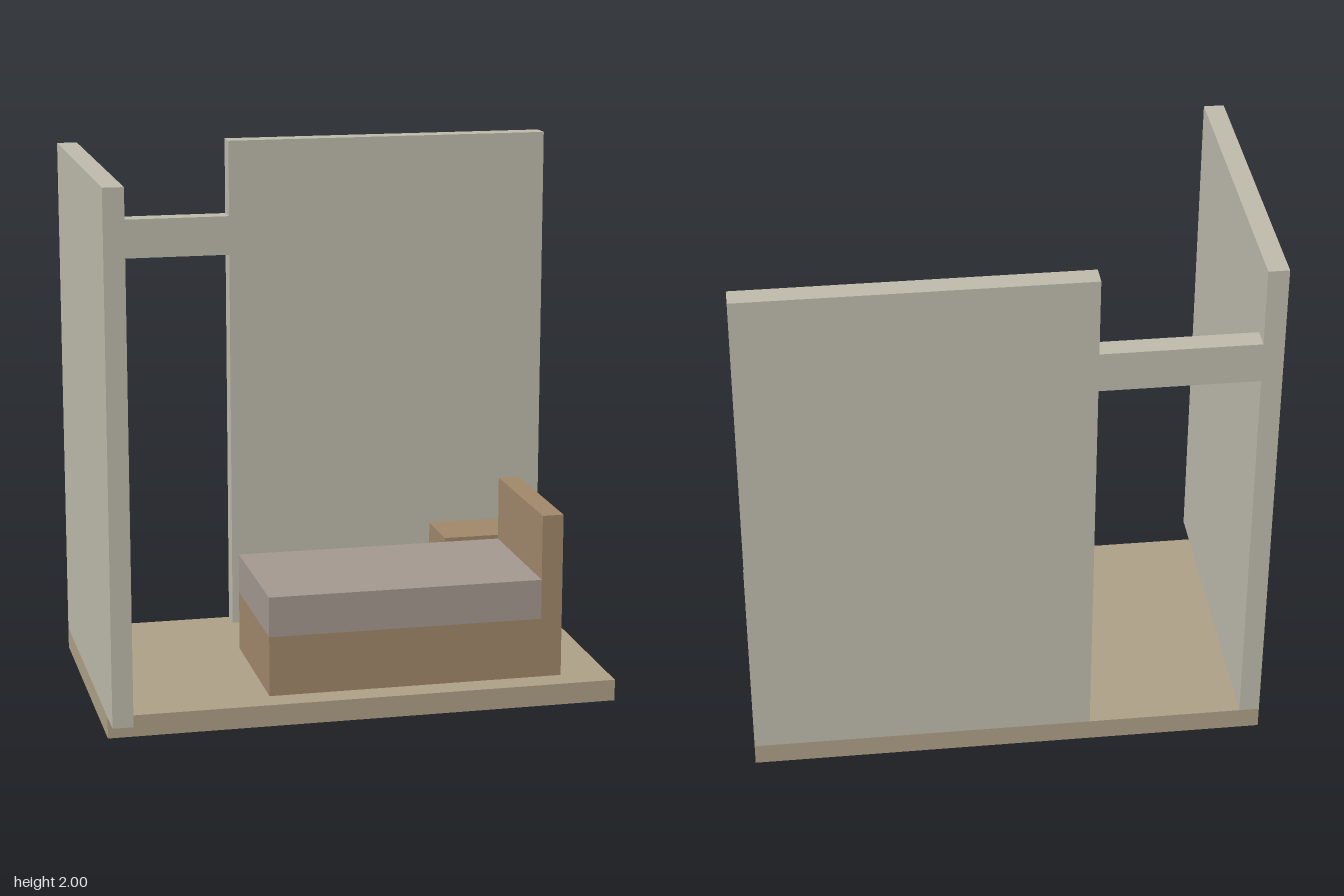
import * as THREE from 'three';

const material = (color) => new THREE.MeshStandardMaterial({ color });

// Box given by its minimum and maximum along each axis
function addBox(parent, name, mat, [x0, x1], [y0, y1], [z0, z1]) {
  const mesh = new THREE.Mesh(new THREE.BoxGeometry(x1 - x0, y1 - y0, z1 - z0), mat);
  mesh.position.set((x0 + x1) / 2, (y0 + y1) / 2, (z0 + z1) / 2);
  mesh.name = name;
  parent.add(mesh);
}

export function createModel() {
  const room = new THREE.Group();
  room.name = 'bedroom';
  const wall = material(0xc0bdae);
  const floor = material(0xb0a288);
  const wood = material(0xa3896c);
  const fabric = material(0xa69a92);

  // Shell: floor slab, side wall, back wall and the beam over the doorway
  addBox(room, 'floor', floor, [-0.95, 0.95], [0, 0.08], [-0.61, 0.485]);
  addBox(room, 'sideWall', wall, [-0.95, -0.875], [0.08, 2], [-0.61, 0.61]);
  addBox(room, 'backWall', wall, [-0.305, 0.95], [0.08, 2], [-0.61, -0.53]);
  addBox(room, 'doorLintel', wall, [-0.875, -0.305], [1.56, 1.71], [-0.61, -0.53]);

  // Bed
  const bed = new THREE.Group();
  bed.name = 'bed';
  const bedDepth = [-0.2, 0.385];
  addBox(bed, 'bedBase', wood, [-0.34, 0.69], [0.08, 0.305], bedDepth);
  addBox(bed, 'mattress', fabric, [-0.34, 0.69], [0.305, 0.455], bedDepth);
  addBox(bed, 'headboard', wood, [0.69, 0.77], [0.08, 0.7], bedDepth);
  room.add(bed);

  // Bedside cabinet
  addBox(room, 'nightstand', wood, [0.485, 0.76], [0.08, 0.46], [-0.475, -0.235]);

  return room;
}
